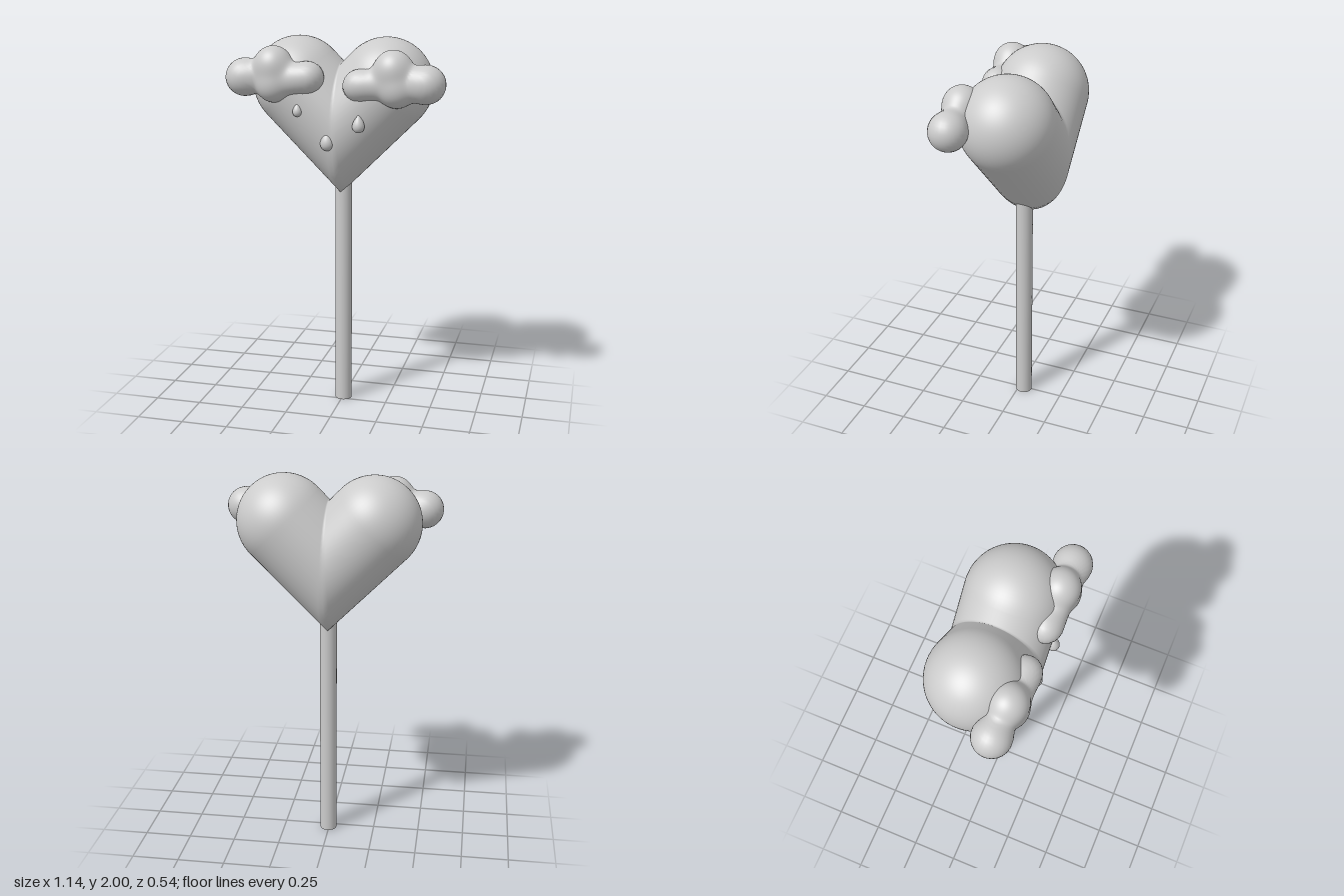
import * as THREE from 'three';
import { mergeGeometries, mergeVertices } from 'three/addons/utils/BufferGeometryUtils.js';

const R = 0.243;            // lobe radius
const LOBE = [0.232, 1.757]; // lobe centre in x, y
const MID_Z = -0.032;

// Half a heart: a round-ended diagonal cylinder cut off at the plane x = 0
function heartHalf() {
  const profile = [];
  for (let i = 0; i <= 20; i++) {
    const a = (i / 20) * Math.PI / 2;
    profile.push(new THREE.Vector2(i === 0 ? 0 : R * Math.sin(a), R * Math.cos(a)));
  }
  for (let i = 1; i <= 12; i++) profile.push(new THREE.Vector2(R, -i / 12));
  const geo = new THREE.LatheGeometry(profile.reverse(), 64);
  const p = geo.attributes.position;
  const s = Math.SQRT1_2;
  for (let i = 0; i < p.count; i++) {
    const x = p.getX(i), y = p.getY(i), z = p.getZ(i);
    // the straight part is stretched so that its last ring lands on x = 0
    const rimX = LOBE[0] + x * s;
    const along = y < -1e-6 ? y * rimX / s : y;
    p.setXYZ(i, LOBE[0] + (x + along) * s, LOBE[1] + (along - x) * s, z);
  }
  return geo;
}

function heartGeometry() {
  const half = heartHalf();
  let geo = mergeGeometries([half, half.clone().rotateY(Math.PI)]);
  geo.deleteAttribute('uv');
  geo.deleteAttribute('normal');
  geo = mergeVertices(geo, 1e-4);
  geo.computeVertexNormals();
  return geo;
}

// Cloud: a sphere whose vertices are pushed out to a soft blend of balls [x, y, z, r]
function cloudGeometry(balls, centre) {
  const k = 0.022;
  const field = (v) => {
    let sum = 0;
    for (const [x, y, z, r] of balls) {
      sum += Math.exp(-(Math.hypot(v.x - x, v.y - y, v.z - z) - r) / k);
    }
    return -k * Math.log(sum);
  };
  let geo = new THREE.SphereGeometry(1, 72, 48);
  geo.deleteAttribute('uv');
  geo.deleteAttribute('normal');
  geo = mergeVertices(geo, 1e-4);
  const p = geo.attributes.position;
  const dir = new THREE.Vector3(), v = new THREE.Vector3();
  for (let i = 0; i < p.count; i++) {
    dir.fromBufferAttribute(p, i).normalize();
    let t = 0.02;
    for (let n = 0; n < 60; n++) {
      v.copy(centre).addScaledVector(dir, t);
      t -= field(v) * 0.8;
    }
    v.copy(centre).addScaledVector(dir, t);
    p.setXYZ(i, v.x, v.y, v.z);
  }
  geo.computeVertexNormals();
  return geo;
}

// Teardrop of unit height, centred on its middle
function dropGeometry() {
  const pts = [];
  for (let i = 0; i <= 20; i++) {
    const a = (i / 20) * Math.PI;
    const r = i % 20 === 0 ? 0 : 0.43 * Math.sin(a) * Math.pow(Math.cos(a / 2), 0.8);
    pts.push(new THREE.Vector2(r, -0.5 * Math.cos(a)));
  }
  return new THREE.LatheGeometry(pts, 24);
}

export function createModel() {
  const model = new THREE.Group();
  const grey = new THREE.MeshStandardMaterial({ color: 0xcccccc });
  const add = (name, geo, x = 0, y = 0, z = 0) => {
    const mesh = new THREE.Mesh(geo, grey);
    mesh.name = name;
    mesh.position.set(x, y, z);
    model.add(mesh);
    return mesh;
  };

  add('heart', heartGeometry(), 0, 0, MID_Z);
  add('stick', new THREE.CylinderGeometry(0.045, 0.045, 1.35, 32), 0.004, 0.675, -0.03);

  // Clouds on the front of the lobes
  add('rightCloud', cloudGeometry([
    [-0.475, 1.797, 0.15, 0.097],
    [-0.315, 1.866, 0.165, 0.095],
    [-0.31, 1.763, 0.17, 0.088],
    [-0.13, 1.806, 0.172, 0.08],
    [-0.21, 1.79, 0.172, 0.065],
  ], new THREE.Vector3(-0.31, 1.806, 0.165)));
  add('leftCloud', cloudGeometry([
    [0.472, 1.787, 0.17, 0.097],
    [0.305, 1.858, 0.17, 0.095],
    [0.325, 1.755, 0.175, 0.088],
    [0.13, 1.772, 0.17, 0.08],
    [0.21, 1.775, 0.172, 0.065],
  ], new THREE.Vector3(0.31, 1.796, 0.17)));

  // Raindrops: x, y, z, height
  const drop = dropGeometry();
  [[-0.18, 1.645, 0.203, 0.07], [-0.027, 1.492, 0.19, 0.105], [0.14, 1.587, 0.214, 0.09]]
    .forEach(([x, y, z, h], i) => add('raindrop' + (i + 1), drop, x, y, z).scale.setScalar(h));

  return model;
}
